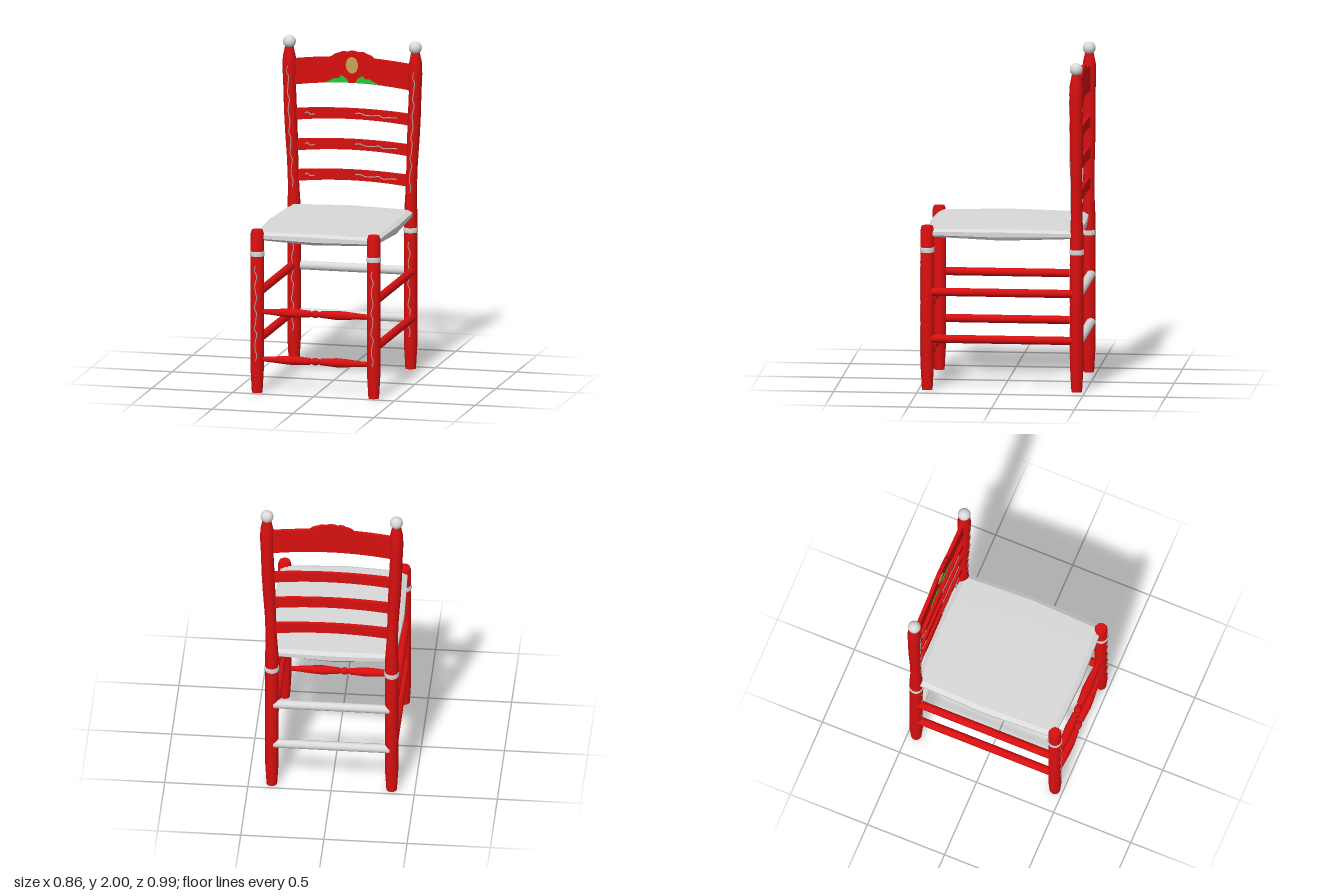
import * as THREE from 'three';
import { toCreasedNormals } from 'three/addons/utils/BufferGeometryUtils.js';

export function createModel() {
  const root = new THREE.Group();
  root.name = 'chair';
  const paint = (name, color) => {
    const m = new THREE.MeshStandardMaterial({ color });
    m.name = name;
    return m;
  };
  const red = paint('redPaint', 0xd80f0f);
  const white = paint('whitePaint', 0xd9d9d9);
  const green = paint('leafGreen', 0x22cc33);
  const gold = paint('medallionGold', 0xc8a550);
  const pale = paint('paleTrim', 0xc9aaa2);

  const add = (name, geo, mat, x = 0, y = 0, z = 0) => {
    const m = new THREE.Mesh(geo, mat);
    m.name = name;
    m.position.set(x, y, z);
    root.add(m);
    return m;
  };
  const turned = (pts, seg = 20) =>
    toCreasedNormals(new THREE.LatheGeometry(pts.map(p => new THREE.Vector2(...p)), seg), 0.6);

  // The back posts splay outwards above the seat
  const postX = y => 0.36 + 0.03 * THREE.MathUtils.smoothstep(y, 0.9, 1.85);
  const bend = (geo, side) => {
    const p = geo.attributes.position;
    for (let i = 0; i < p.count; i++) p.setX(i, p.getX(i) + side * postX(p.getY(i)));
    geo.computeVertexNormals();
    return toCreasedNormals(geo, 0.6);
  };
  const legProfile = [[0, 0], [0.032, 0], [0.04, 0.14], [0.04, 0.97], [0.033, 0.995], [0, 0.995]];
  const postProfile = [[0, 0], [0.032, 0], [0.04, 0.14], [0.04, 0.95], [0.034, 1.08], [0.034, 1.25],
    [0.038, 1.42], [0.039, 1.55], [0.038, 1.68], [0.041, 1.8], [0.039, 1.87], [0.026, 1.935], [0, 1.94]];

  // Wavy painted line lying on a surface
  const squiggle = (name, f, n) => {
    const pts = [];
    for (let i = 0; i <= n; i++) pts.push(new THREE.Vector3(...f(i / n, Math.sin(i * 1.7) + 0.5 * Math.sin(i * 2.9))));
    add(name, new THREE.TubeGeometry(new THREE.CatmullRomCurve3(pts), n * 3, 0.0035, 4), pale);
  };

  for (const s of [-1, 1]) {
    add('frontLeg', turned(legProfile), red, s * 0.36, 0, 0.45);
    add('backPost', bend(turned(postProfile), s), red, 0, 0, -0.45);
    add('finial', new THREE.SphereGeometry(0.039, 20, 14), white, s * 0.389, 1.963, -0.45);
    for (const z of [-0.45, 0.45])
      add('legRing', turned([[0.036, -0.015], [0.043, -0.015], [0.045, 0], [0.043, 0.015], [0.036, 0.015]]),
        white, s * 0.36, 0.85, z);
    // Side stretchers
    for (const y of [0.31, 0.595])
      add('sideStretcher', new THREE.CylinderGeometry(0.025, 0.025, 0.86, 14), red, s * 0.37, y, 0).rotation.x = Math.PI / 2;
    squiggle('legLine', (t, w) => [s * 0.36 + w * 0.006, 0.2 + t * 0.58, 0.489], 18);
    squiggle('lowerPostLine', (t, w) => [s * 0.36 + w * 0.006, 0.2 + t * 0.58, -0.411], 18);
    squiggle('upperPostLine', (t, w) => {
      const y = 1.08 + t * 0.74;
      return [s * postX(y) + w * 0.005, y, -0.417 + 0.006 * THREE.MathUtils.smoothstep(y, 1.25, 1.45)];
    }, 22);
  }

  // Plain back stretchers and turned front rungs
  for (const y of [0.305, 0.595])
    add('backStretcher', new THREE.CylinderGeometry(0.027, 0.027, 0.7, 16), white, 0, y, -0.464).rotation.z = Math.PI / 2;
  const half = [[0.014, 0.34], [0.017, 0.28], [0.025, 0.19], [0.028, 0.13], [0.022, 0.06], [0.021, 0.035],
    [0.014, 0.028], [0.02, 0.012]];
  const rung = [...half.map(([r, y]) => [r, -y]), [0.023, 0], ...half.slice().reverse()];
  for (const y of [0.205, 0.495])
    add('frontRung', turned(rung, 16), red, 0, y, 0.45).rotation.z = Math.PI / 2;

  // Woven seat: bowed outline stacked in loops and closed with centre fans
  const loops = [
    [0.36, 0.385, 0.43, 0.45, 0.928, 0.915],
    [0.38, 0.398, 0.45, 0.47, 0.94, 0.935],
    [0.38, 0.398, 0.45, 0.467, 0.96, 0.966],
    [0.355, 0.37, 0.425, 0.44, 0.975, 0.981]];
  const verts = [0, 0.915, 0], index = [];
  for (const [x, mx, z, mz, y, my] of loops)
    for (const [a, b] of [[1, 1], [1, 0], [1, -1], [0, -1], [-1, -1], [-1, 0], [-1, 1], [0, 1]])
      verts.push(a * (b ? x : mx), a && b ? y : my, b * (a ? z : mz));
  verts.push(0, 0.987, 0);
  for (let i = 0; i < 8; i++) {
    const j = (i + 1) % 8;
    index.push(0, 1 + j, 1 + i, 33, 25 + i, 25 + j);
    for (let k = 1; k < 25; k += 8) index.push(k + i, k + j, k + 8 + j, k + i, k + 8 + j, k + 8 + i);
  }
  const seat = new THREE.BufferGeometry();
  seat.setAttribute('position', new THREE.Float32BufferAttribute(verts, 3));
  seat.setIndex(index);
  const seatFlat = seat.toNonIndexed();
  seatFlat.computeVertexNormals();
  add('seat', toCreasedNormals(seatFlat, 0.2), white);

  // Arched back slats
  const board = (shape, depth = 0.022) => {
    const g = new THREE.ExtrudeGeometry(shape, { depth, bevelEnabled: false, curveSegments: 12 });
    return toCreasedNormals(g, 0.5);
  };
  for (const y of [1.11, 1.297, 1.485]) {
    const s = new THREE.Shape();
    s.moveTo(-0.365, y);
    s.quadraticCurveTo(0, y + 0.048, 0.365, y);
    s.lineTo(0.365, y + 0.07);
    s.quadraticCurveTo(0, y + 0.105, -0.365, y + 0.07);
    add('backSlat', board(s), red, 0, 0, -0.462);
    squiggle('slatLineLong', (t, w) => [0.02 + t * 0.26, y + 0.058 - t * 0.018 + w * 0.005, -0.439], 9);
    squiggle('slatLineShort', (t, w) => [-0.29 + t * 0.06, y + 0.045 + w * 0.008, -0.439], 4);
  }

  // Crest rail with scalloped centre
  const c = new THREE.Shape();
  c.moveTo(-0.37, 1.7);
  c.quadraticCurveTo(0, 1.76, 0.37, 1.7);
  c.lineTo(0.37, 1.858);
  c.quadraticCurveTo(0.25, 1.875, 0.132, 1.882);
  c.quadraticCurveTo(0.115, 1.905, 0.085, 1.907);
  c.quadraticCurveTo(0.065, 1.925, 0.035, 1.915);
  c.quadraticCurveTo(0, 1.932, -0.035, 1.915);
  c.quadraticCurveTo(-0.065, 1.925, -0.085, 1.907);
  c.quadraticCurveTo(-0.115, 1.905, -0.132, 1.882);
  c.quadraticCurveTo(-0.25, 1.875, -0.37, 1.858);
  add('crestRail', board(c), red, 0, 0, -0.462);

  // Painted medallion and leaves
  const oval = new THREE.Shape().absellipse(0, 1.838, 0.038, 0.05, 0, Math.PI * 2);
  add('medallion', board(oval, 0.004), gold, 0, 0, -0.441);
  for (const s of [-1, 1]) {
    const leaf = new THREE.Shape([[0.02, 1.731], [0.035, 1.755], [0.065, 1.776], [0.08, 1.757], [0.11, 1.755], [0.165, 1.726]]
      .map(([x, y]) => new THREE.Vector2(s * x, y)));
    add('leaf', board(leaf, 0.004), green, 0, 0, -0.441);
  }
  return root;
}
